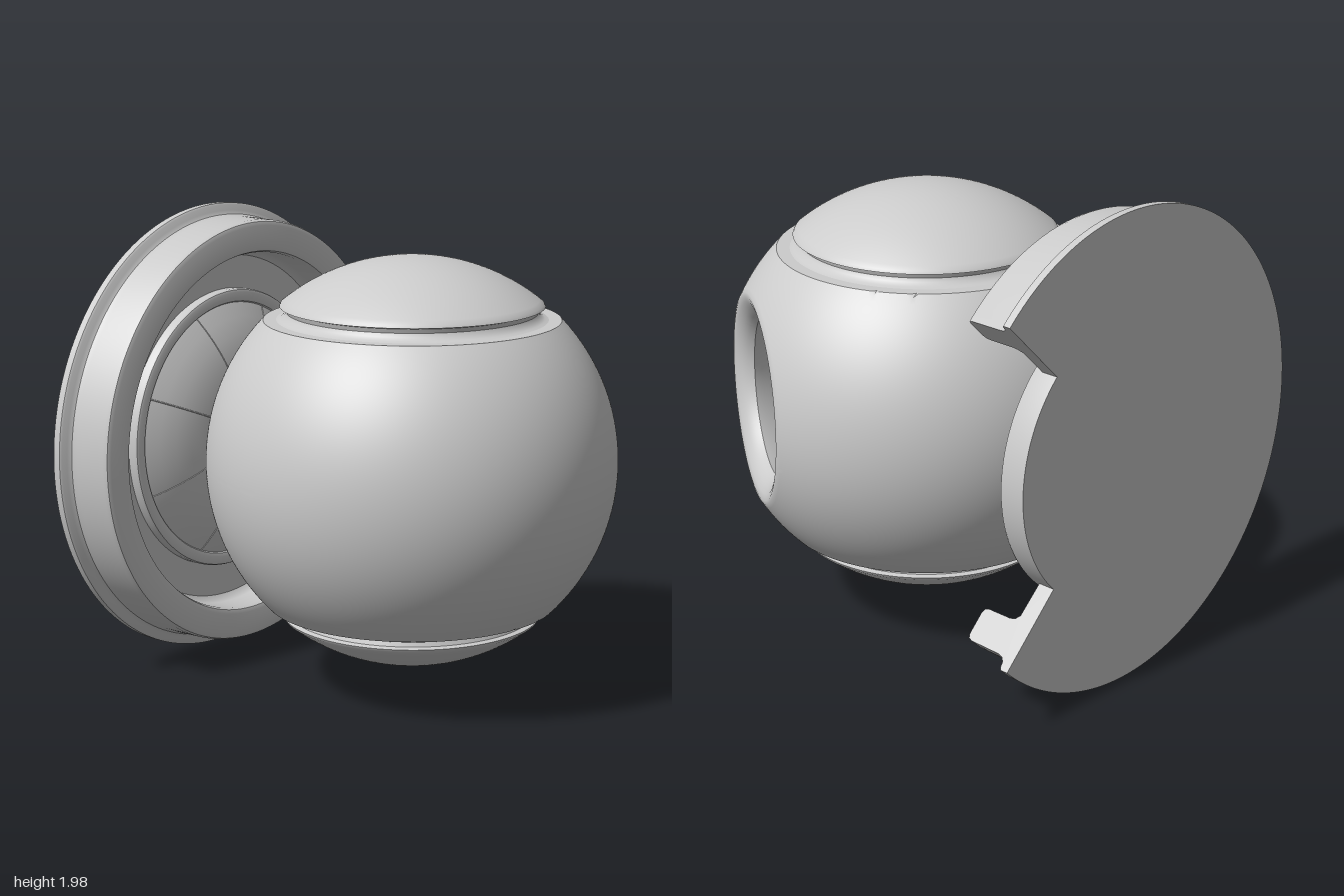
import * as THREE from 'three';
import { toCreasedNormals } from 'three/addons/utils/BufferGeometryUtils.js';

const CX = 0.065, CY = 1.005, CZ = 0.125; // ball centre
const R = 0.86, CUT = 0.6, CAVITY = 0.66;
const material = new THREE.MeshStandardMaterial({ color: 0xcccccc });
const thin = new THREE.MeshStandardMaterial({ color: 0xcccccc, side: THREE.DoubleSide });

const pts = (list) => list.map(([x, y]) => new THREE.Vector2(x, y));

// Profile points on a circle, angle measured from the negative axis
function arc(radius, from, to, steps) {
  const out = [];
  for (let i = 0; i <= steps; i++) {
    const a = from + (to - from) * i / steps;
    out.push([Math.max(0, radius * Math.sin(a)), -radius * Math.cos(a)]);
  }
  return out;
}

function add(parent, name, geometry, mat = material) {
  const mesh = new THREE.Mesh(geometry, mat);
  mesh.name = name;
  parent.add(mesh);
  return mesh;
}

// Lathe whose axis is z; profile is [radius, z]
function latheZ(profile, segments, start = 0, length = Math.PI * 2) {
  return new THREE.LatheGeometry(pts(profile), segments, start, length).rotateX(Math.PI / 2);
}

// Hollow ball: outside, rounded lip of the round opening, then the inner cavity
function shellGeometry() {
  const profile = [
    ...arc(R, 0, Math.PI - Math.asin(0.44 / R), 120),
    [0.425, 0.741], [0.4, 0.733], [0.37, 0.715], [0.348, 0.693], [0.335, 0.67],
    [0.35, 0.635], [0.39, 0.57],
    ...arc(CAVITY, Math.PI - Math.asin(0.44 / CAVITY), 0, 40),
  ];
  const g = latheZ(profile, 192).rotateY(Math.PI / 3);
  const p = g.attributes.position, v = new THREE.Vector3();
  const edge = Math.sqrt(R * R - CUT * CUT);
  // Flatten the outer surface above and below the cut height
  for (let i = 0; i < p.count; i++) {
    v.fromBufferAttribute(p, i);
    if (v.length() < R - 0.01) continue;
    const side = Math.sign(v.y), h = Math.abs(v.y);
    if (Math.abs(h - CUT) < 0.011) {
      const k = edge / Math.hypot(v.x, v.z);
      p.setXYZ(i, v.x * k, side * CUT, v.z * k);
    } else if (h > CUT) p.setY(i, side * CUT);
  }
  return toCreasedNormals(g, 0.5);
}

export function createModel() {
  const model = new THREE.Group();
  model.name = 'ballOnMount';

  const ball = new THREE.Group();
  ball.name = 'ball';
  ball.position.set(CX, CY, CZ);
  model.add(ball);
  add(ball, 'shell', shellGeometry());

  // Domed caps with a groove below their rim
  const capProfile = [
    [0.57, 0.598], [0.545, 0.604], [0.527, 0.617], [0.52, 0.632], [0.526, 0.65], [0.548, 0.656],
    ...arc(R, Math.PI - Math.asin(0.542 / R), Math.PI, 24),
  ];
  for (const [name, turn] of [['topCap', 0], ['bottomCap', Math.PI]]) {
    const g = new THREE.LatheGeometry(pts(capProfile), 128);
    add(ball, name, toCreasedNormals(g, 0.6)).rotation.x = turn;
  }

  const mount = new THREE.Group();
  mount.name = 'mount';
  mount.position.set(CX, CY, 0);
  model.add(mount);

  // Flared neck between ball and mount
  add(mount, 'neck', toCreasedNormals(latheZ([
    [0.22, -0.8], [0.22, -0.765], [0.226, -0.745], [0.243, -0.722],
    [0.27, -0.7], [0.31, -0.682], [0.31, -0.665],
  ], 96), 0.6));

  // Round back plate with a rim and a domed face
  const dome = [[0.56, -0.877], [0.5, -0.842], [0.43, -0.81], [0.36, -0.788], [0.28, -0.773], [0.2, -0.766]];
  add(mount, 'backPlate', toCreasedNormals(latheZ([
    [0, -0.985], [0.62, -0.985], [0.62, -0.88], [0.615, -0.869], [0.605, -0.865],
    [0.58, -0.865], [0.565, -0.87], ...dome, [0, -0.762],
  ], 128), 0.5));

  // Fine radial seams on the domed face
  const seamPath = new THREE.CatmullRomCurve3(dome.map(([r, z]) => new THREE.Vector3(r, 0, z)));
  const seamGeometry = new THREE.TubeGeometry(seamPath, 16, 0.003, 6);
  for (let i = 0; i < 8; i++) {
    add(mount, 'seam', seamGeometry).rotation.z = (i + 0.5) * Math.PI / 4;
  }

  // Flanged outer ring, open for a quarter turn on the left
  const ringProfile = [
    [0.6, -0.985], [0.99, -0.985], [0.99, -0.952], [0.982, -0.945], [0.958, -0.94],
    [0.942, -0.928], [0.935, -0.905], [0.932, -0.76], [0.925, -0.742], [0.908, -0.735],
    [0.815, -0.735], [0.797, -0.742], [0.79, -0.76], [0.79, -0.87], [0.783, -0.893],
    [0.765, -0.908], [0.6, -0.912],
  ];
  add(mount, 'outerRing', toCreasedNormals(
    latheZ([...ringProfile, ringProfile[0]], 144, Math.PI * 0.75, Math.PI * 1.5), 0.6));
  for (const s of [1, -1]) {
    const end = new THREE.ShapeGeometry(new THREE.Shape(pts(ringProfile)));
    end.rotateX(Math.PI / 2).rotateZ(s * Math.PI / 4);
    add(mount, 'ringEnd', end, thin);
  }
  return model;
}
